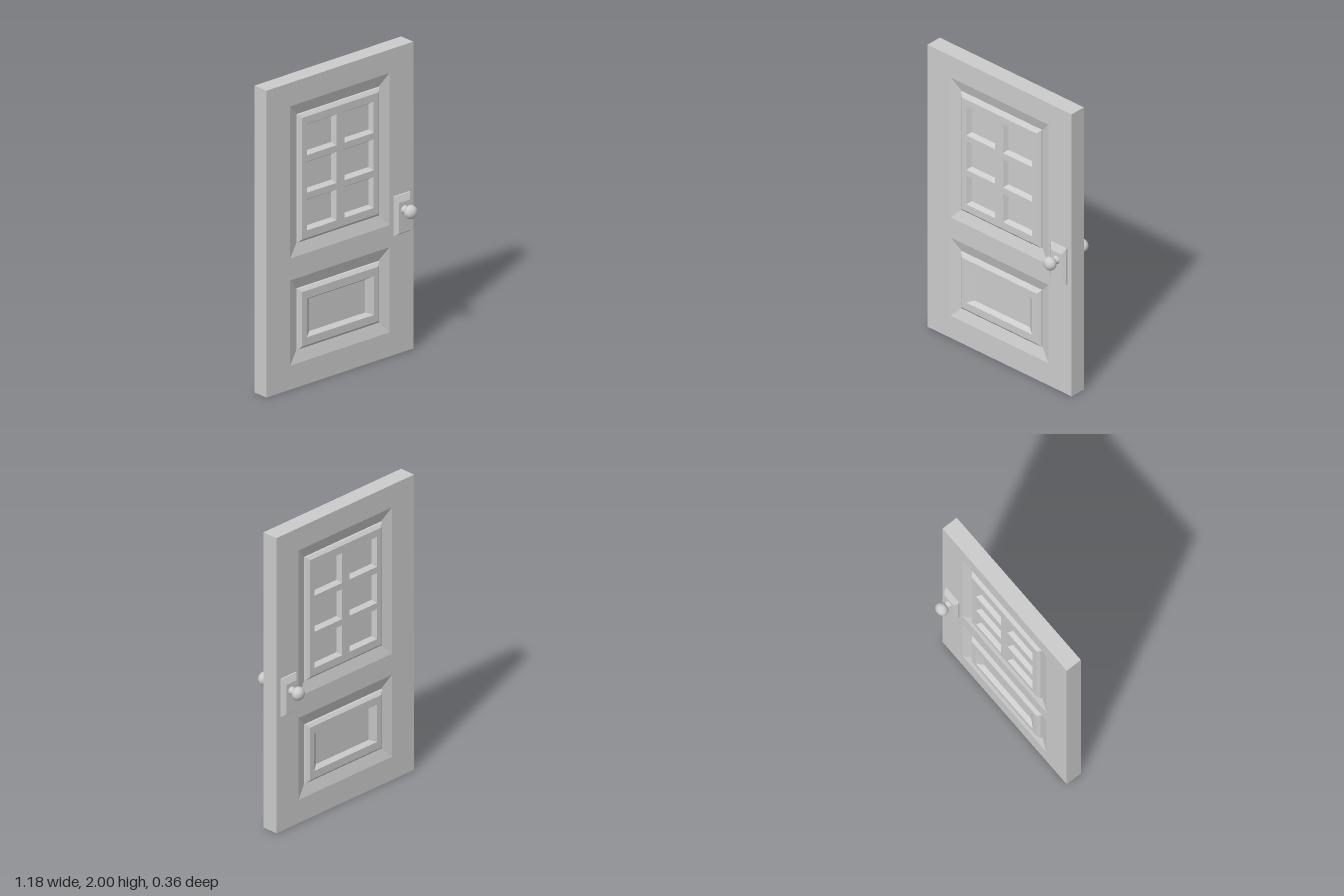
import * as THREE from 'three';

const material = new THREE.MeshStandardMaterial({ color: 0xcccccc });
const FACE = 0.055, RAISED = 0.059, FLOOR = 0.032;

function addMesh(parent, geometry, name) {
  const mesh = new THREE.Mesh(geometry, material);
  mesh.name = name;
  parent.add(mesh);
  return mesh;
}

// Rectangle [x0, y0, x1, y1] shrunk by dx, dy
const inset = ([x0, y0, x1, y1], dx, dy = dx) => [x0 + dx, y0 + dy, x1 - dx, y1 - dy];
const corners = ([x0, y0, x1, y1]) => [[x0, y0], [x1, y0], [x1, y1], [x0, y1]];

// Mitred strips joining a series of rectangles { r, z }, optionally capped by the last one
function steppedRects(steps, cap) {
  const pos = [];
  const loops = steps.map(({ r, z }) => corners(r).map(([x, y]) => [x, y, z]));
  const quad = (a, b, c, d) => pos.push(...a, ...b, ...c, ...a, ...c, ...d);
  for (let k = 0; k < loops.length - 1; k++) {
    const a = loops[k], b = loops[k + 1];
    for (let i = 0; i < 4; i++) {
      const j = (i + 1) % 4;
      quad(a[i], a[j], b[j], b[i]);
    }
  }
  if (cap) quad(...loops[loops.length - 1]);
  const geometry = new THREE.BufferGeometry();
  geometry.setAttribute('position', new THREE.Float32BufferAttribute(pos, 3));
  geometry.computeVertexNormals();
  return geometry;
}

// Flat rectangle with rectangular openings
function piercedFace(rect, openings, z) {
  const points = r => corners(r).map(([x, y]) => new THREE.Vector2(x, y));
  const shape = new THREE.Shape(points(rect));
  shape.holes = openings.map(r => new THREE.Path(points(r).reverse()));
  return new THREE.ShapeGeometry(shape).translate(0, 0, z);
}

// Sunken surround, raised bevelled frame and sunken fields of one panel
function makePanel(name, surround, fields, fieldBevel) {
  const group = new THREE.Group();
  group.name = name;
  const foot = inset(surround, 0.07, 0.077);
  const top = inset(foot, 0.023);
  addMesh(group, steppedRects([
    { r: surround, z: FACE },
    { r: foot, z: FLOOR },
    { r: inset(foot, 0.003), z: FLOOR + 0.01 },
    { r: top, z: RAISED },
  ]), 'panelMoulding');
  addMesh(group, piercedFace(top, fields, RAISED), 'panelFrame');
  for (const field of fields) {
    addMesh(group, steppedRects([
      { r: field, z: RAISED },
      { r: inset(field, ...fieldBevel), z: 0.03 },
    ], true), 'panelField');
  }
  return group;
}

// Bevelled plate with a turned knob
function makeHandle(x) {
  const group = new THREE.Group();
  group.name = 'handle';
  const plate = [-0.063, 0.78, 0.063, 1.035];
  addMesh(group, steppedRects([
    { r: plate, z: FACE },
    { r: plate, z: 0.066 },
    { r: [-0.043, 0.795, 0.043, 0.995], z: 0.085 },
  ], true), 'handlePlate');

  const profile = [[0.028, 0.083], [0.024, 0.095], [0.021, 0.112]];
  for (let i = 0; i <= 12; i++) {
    const a = -1.05 + (i / 12) * (Math.PI / 2 + 1.05);
    profile.push([Math.max(0, 0.044 * Math.cos(a)), 0.142 + 0.037 * Math.sin(a)]);
  }
  const knob = new THREE.LatheGeometry(profile.map(p => new THREE.Vector2(...p)), 24);
  addMesh(group, knob.rotateX(Math.PI / 2).translate(0, 0.942, 0), 'knob');
  group.position.x = x;
  return group;
}

// One complete side of the door
function makeSide(name, handleX) {
  const side = new THREE.Group();
  side.name = name;
  const slab = [-0.59, 0, 0.59, 2];
  const upper = [-0.4, 0.855, 0.4, 1.847];
  const lower = [-0.4, 0.157, 0.4, 0.712];
  addMesh(side, piercedFace(slab, [upper, lower], FACE), 'doorFace');

  // Two columns and three rows of small panes
  const panes = [];
  for (const x of [-0.268, 0.032]) {
    for (let row = 0; row < 3; row++) {
      const y = 1.004 + row * 0.245;
      panes.push([x, y, x + 0.236, y + 0.203]);
    }
  }
  side.add(makePanel('upperPanel', upper, panes, [0.018, 0.018]));
  side.add(makePanel('lowerPanel', lower, [[-0.27, 0.307, 0.27, 0.56]], [0.045, 0.02]));
  side.add(makeHandle(handleX));
  return side;
}

export function createModel() {
  const door = new THREE.Group();
  door.name = 'door';
  const slab = [-0.59, 0, 0.59, 2];
  addMesh(door, steppedRects([{ r: slab, z: -FACE }, { r: slab, z: FACE }]), 'doorEdges');
  door.add(makeSide('frontSide', 0.492));
  const back = makeSide('backSide', -0.492);
  back.rotation.y = Math.PI;
  door.add(back);
  return door;
}
